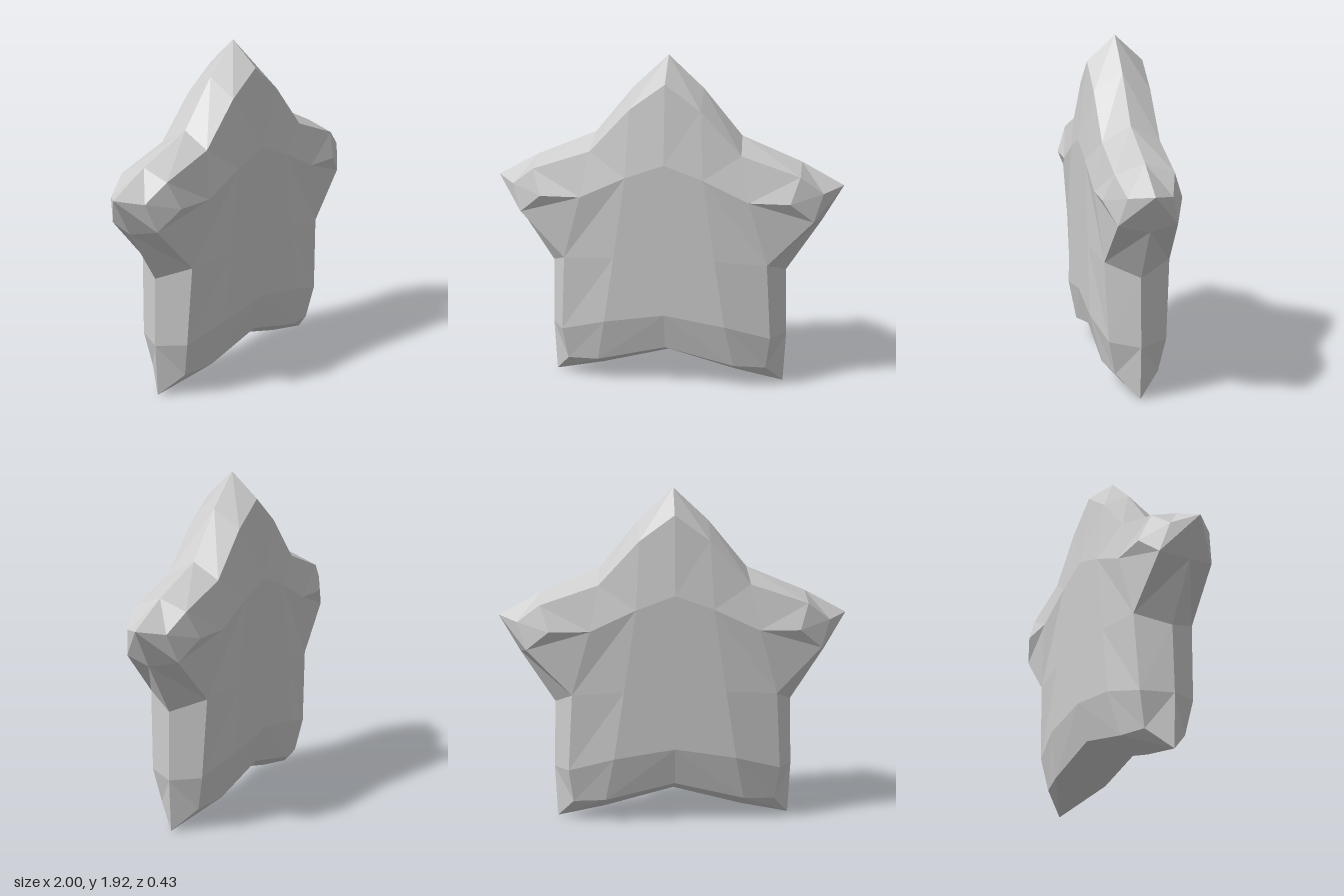
import * as THREE from 'three';

// Half outline (x >= 0) from the top tip clockwise to the bottom notch: [x, y, z]
const rim = [
  [0, 1.92, 0], [0.2, 1.735, 0], [0.42, 1.47, 0], [0.76, 1.33, 0], [1, 1.2, 0], [0.88, 0.99, 0],
  [0.685, 0.69, 0], [0.695, 0.3, 0], [0.68, 0, 0], [0.4, 0.055, 0], [0, 0.16, 0],
];
// Matching inset edge of the bevel
const inset = [
  [0, 1.775, 0.16], [0.2, 1.63, 0.16], [0.43, 1.385, 0.16], [0.76, 1.275, 0.16], [0.89, 1.175, 0.12],
  [0.84, 1.02, 0.16], [0.585, 0.76, 0.18], [0.61, 0.315, 0.16], [0.585, 0.12, 0.12],
  [0.4, 0.135, 0.16], [0, 0.23, 0.16],
];
// Raised flat area of the face: shoulder row, middle row, lower row
const D = 0.215;
const top = [[0, 1.33, D], [0.22, 1.25, D], [0.48, 1.13, D], [0.71, 1.13, D]];
const mid = [[0, 0.85, D], [0.29, 0.78, D]];
const low = [[0, 0.445, D], [0.35, 0.39, D]];

function starQuads() {
  const I = inset;
  const quads = [
    [top[0], mid[0], mid[1], top[1]],
    [mid[0], low[0], low[1], mid[1]],
    [top[1], mid[1], I[6], top[2]],
    [mid[1], low[1], I[7], I[6]],
    [top[2], I[6], I[5], top[3]],
    [top[3], I[5], I[4], I[3]],
    [low[0], I[10], I[9], low[1]],
    [low[1], I[9], I[8], I[7]],
  ];
  // slopes from the shoulder row up to the inset edge
  for (let i = 0; i < 3; i++) quads.push([top[i], top[i + 1], I[i + 1], I[i]]);
  // bevel down to the rim
  for (let i = 0; i < 10; i++) quads.push([rim[i], I[i], I[i + 1], rim[i + 1]]);
  return quads;
}

export function createModel() {
  const positions = [];
  const quads = starQuads();
  // mirror the quarter left/right and front/back
  for (const sx of [1, -1]) {
    for (const sz of [1, -1]) {
      for (const quad of quads) {
        const [a, b, c, d] = quad.map(([x, y, z]) => [x * sx, y, z * sz]);
        const tris = sx * sz > 0 ? [a, b, c, a, c, d] : [a, c, b, a, d, c];
        positions.push(...tris.flat());
      }
    }
  }
  const geometry = new THREE.BufferGeometry();
  geometry.setAttribute('position', new THREE.Float32BufferAttribute(positions, 3));
  geometry.computeVertexNormals();

  const star = new THREE.Mesh(
    geometry,
    new THREE.MeshStandardMaterial({ color: 0xcccccc, flatShading: true })
  );
  star.name = 'star';
  const group = new THREE.Group();
  group.name = 'starModel';
  group.add(star);
  return group;
}
